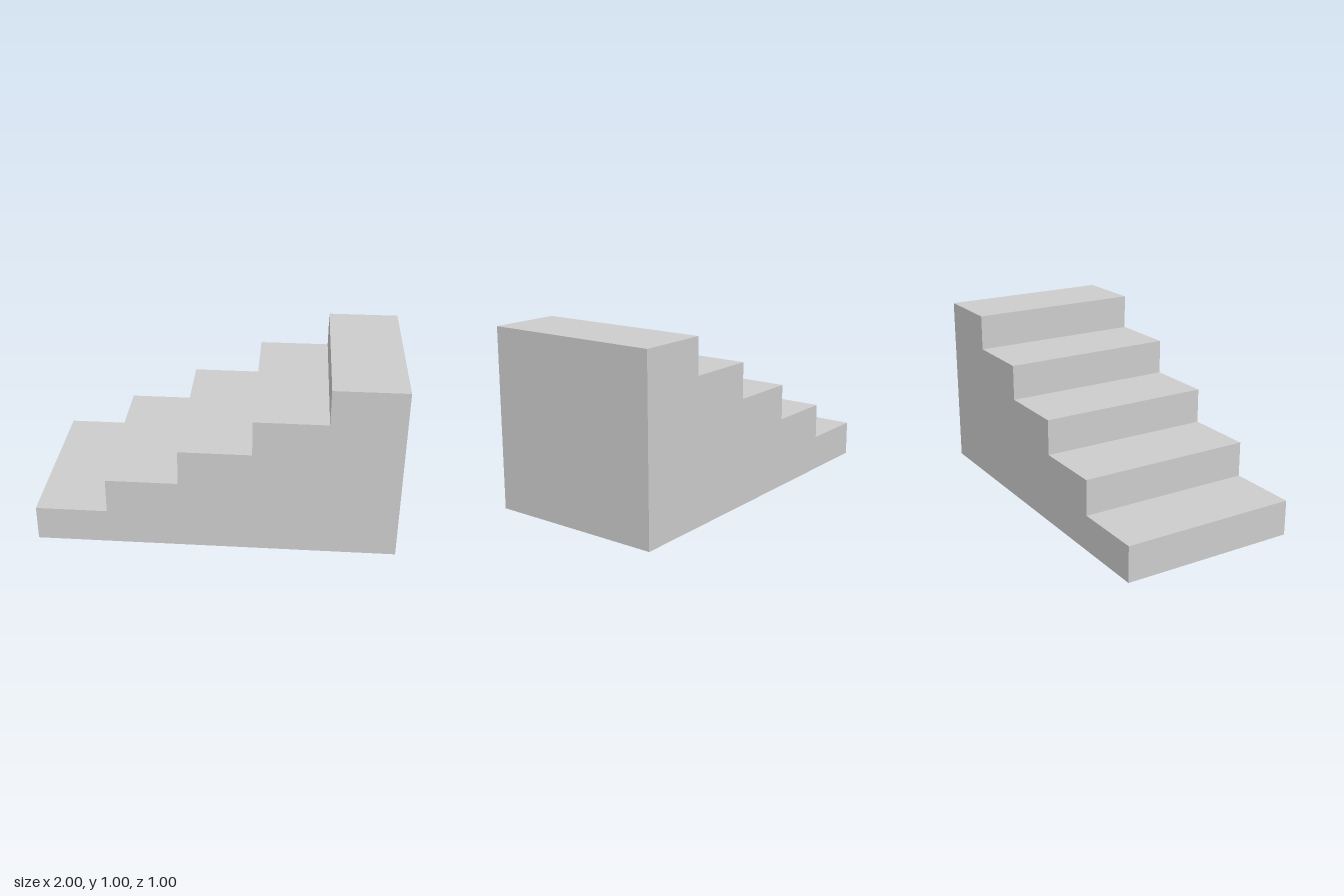
import * as THREE from 'three';

const STEPS = 5;
const TREAD = 0.4;
const RISE = 0.2;
const WIDTH = 1;

export function createModel() {
  const group = new THREE.Group();
  group.name = 'staircase';

  // Stepped side profile, rising towards +x
  const profile = new THREE.Shape();
  const half = (STEPS * TREAD) / 2;
  profile.moveTo(-half, 0);
  profile.lineTo(half, 0);
  for (let i = STEPS; i > 0; i--) {
    profile.lineTo(-half + i * TREAD, i * RISE);
    profile.lineTo(-half + (i - 1) * TREAD, i * RISE);
  }
  profile.closePath();

  // Solid flight of steps, extruded across its width
  const geometry = new THREE.ExtrudeGeometry(profile, { depth: WIDTH, bevelEnabled: false });
  geometry.translate(0, 0, -WIDTH / 2);
  const steps = new THREE.Mesh(
    geometry,
    new THREE.MeshStandardMaterial({ color: 0xcccccc, flatShading: true })
  );
  steps.name = 'steps';
  group.add(steps);

  return group;
}
